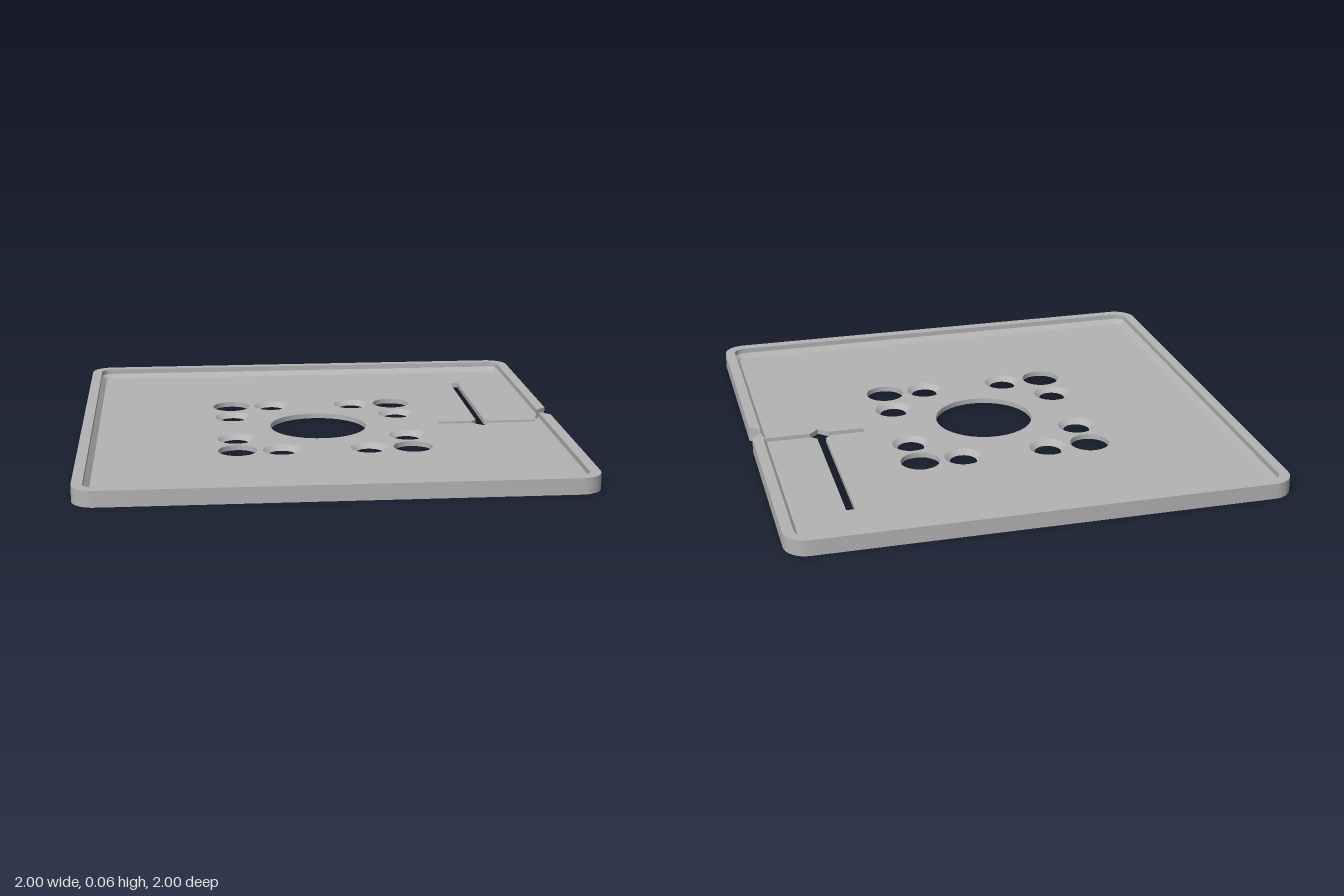
import * as THREE from 'three';
import { toCreasedNormals } from 'three/addons/utils/BufferGeometryUtils.js';

const FLOOR = 0.0215, COVE = 0.043, TOP = 0.0645; // heights
const SLIT = 0.018, MOUTH = 0.06;                 // half widths of the slit and its flared mouth
const INNER = 0.957;                              // inner face of the rim

const grey = new THREE.MeshStandardMaterial({ color: 0xb4b4b4, side: THREE.DoubleSide });
grey.name = 'plain grey';

const vec = ([x, y]) => new THREE.Vector2(x, y);

// Rounded square running counter-clockwise, open on the +x side by the given half gap
function openSquare(w, r, gap, n = 8) {
  const pts = [[w, gap]];
  [[1, 1], [-1, 1], [-1, -1], [1, -1]].forEach(([sx, sy], c) => {
    for (let k = 0; k <= n; k++) {
      const a = (c + k / n) * Math.PI / 2;
      pts.push([sx * (w - r) + r * Math.cos(a), sy * (w - r) + r * Math.sin(a)]);
    }
  });
  pts.push([w, -gap]);
  return pts;
}

// Extrude a plan shape (x, -z) upward from y0 to y1
function slab(shape, y0, y1) {
  const g = new THREE.ExtrudeGeometry(shape, { depth: y1 - y0, bevelEnabled: false, curveSegments: 24 });
  g.rotateX(-Math.PI / 2).translate(0, y0, 0);
  return toCreasedNormals(g, 0.5);
}

export function createModel() {
  const model = new THREE.Group();
  model.name = 'basePlate';
  const add = (name, geometry, x = 0, z = 0) => {
    const mesh = new THREE.Mesh(geometry, grey);
    mesh.name = name;
    mesh.position.set(x, 0, z);
    model.add(mesh);
  };

  // Floor with the branched slit cut in from the left edge
  const outer = openSquare(1, 0.09, MOUTH);
  const slit = [
    [INNER, -SLIT], [0.75, -SLIT], [0.71, -0.056], [0.67, -SLIT], [0.525, -SLIT],
    [0.525, SLIT], [0.67, SLIT], [0.692, 0.04], [0.692, 0.715], [0.728, 0.715],
    [0.728, 0.04], [0.75, SLIT], [INNER, SLIT],
  ];
  const floor = new THREE.Shape([...outer, ...slit].map(vec));
  const hole = (x, y, r) => floor.holes.push(new THREE.Path().absarc(x, y, r, 0, Math.PI * 2, true));
  hole(0, 0, 0.205);

  // Four clusters: one plain hole and two countersunk holes each
  const bezelProfile = [[0.077, 0], [0.055, 0], [0.077, FLOOR]].map(vec);
  const bezel = toCreasedNormals(new THREE.LatheGeometry(bezelProfile, 48).toNonIndexed(), 0.5);
  for (const sx of [1, -1]) for (const sy of [1, -1]) {
    hole(sx * 0.36, sy * 0.36, 0.08);
    for (const [x, y] of [[0.18, 0.36], [0.36, 0.18]]) {
      hole(sx * x, sy * y, 0.077);
      add('countersink', bezel, sx * x, -sy * y);
    }
  }
  add('floor', slab(floor, 0, FLOOR));

  // Raised rim, broken by the slit mouth
  const inner = openSquare(INNER, 0.045, SLIT);
  add('rim', slab(new THREE.Shape([...outer, ...inner.slice().reverse()].map(vec)), FLOOR, TOP));

  // Sloped foot along the inside of the rim
  const foot = openSquare(INNER - 0.02, 0.03, SLIT);
  const pos = [];
  const put = (p, y) => pos.push(p[0], y, -p[1]);
  for (let i = 0; i < inner.length - 1; i++) {
    put(inner[i], COVE); put(inner[i + 1], COVE); put(foot[i], FLOOR);
    put(inner[i + 1], COVE); put(foot[i + 1], FLOOR); put(foot[i], FLOOR);
  }
  const slope = new THREE.BufferGeometry();
  slope.setAttribute('position', new THREE.Float32BufferAttribute(pos, 3));
  add('rimFoot', toCreasedNormals(slope, 0.5));

  return model;
}
